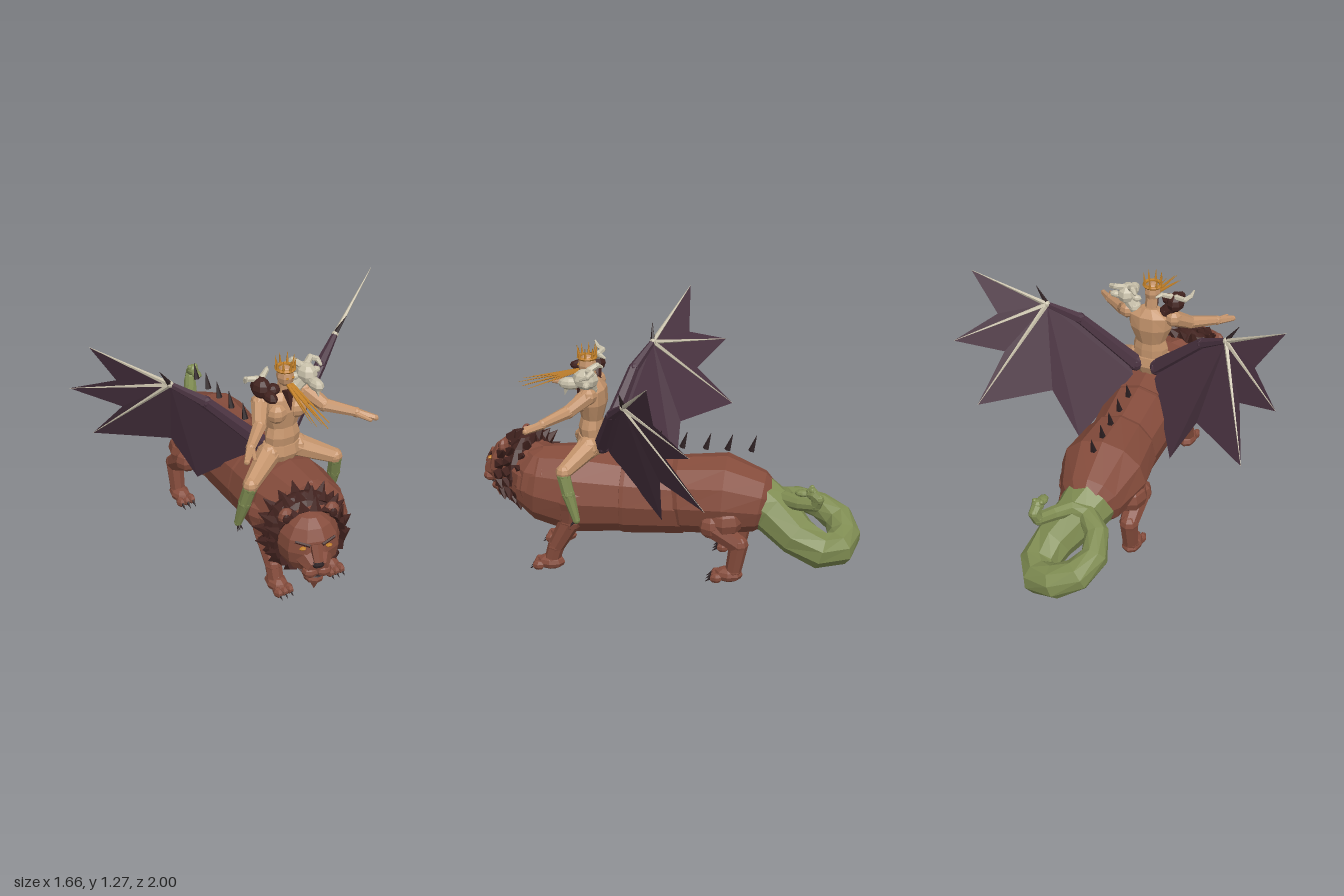
import * as THREE from 'three';
import { mergeGeometries } from 'three/addons/utils/BufferGeometryUtils.js';

const V = (a) => new THREE.Vector3(a[0], a[1], a[2]);

// Faceted copy of a geometry with only positions and normals
function flat(geo) {
  const g = geo.index ? geo.toNonIndexed() : geo;
  g.deleteAttribute('uv');
  g.computeVertexNormals();
  return g;
}

// Faceted ellipsoid
function ball(p, r, w = 8, h = 6) {
  const s = Array.isArray(r) ? r : [r, r, r];
  return flat(new THREE.SphereGeometry(1, w, h).scale(...s).translate(...p));
}

// Tapered bar between two points
function bar(a, b, r1, r2, n = 7) {
  const d = V(b).sub(V(a));
  const g = new THREE.CylinderGeometry(r2, r1, d.length(), n);
  g.applyQuaternion(new THREE.Quaternion().setFromUnitVectors(new THREE.Vector3(0, 1, 0), d.clone().normalize()));
  return flat(g.translate(...V(a).addScaledVector(d, 0.5).toArray()));
}
const spike = (a, b, r, n = 5) => bar(a, b, r, 0.001, n);

// Jointed limb: stations are [x, y, z, radius]
function limb(pts, n = 8) {
  const out = [];
  pts.forEach((p, i) => {
    out.push(ball(p, p[3], n, 6));
    if (i) out.push(bar(pts[i - 1], p, pts[i - 1][3] * 0.96, p[3] * 0.96, n));
  });
  return mergeGeometries(out);
}

// Closed skin over elliptical rings: stations are [x, y, z, rx, ry]
function loft(st, n = 10) {
  const rings = st.map((s, i) => {
    const t = V(st[Math.min(i + 1, st.length - 1)]).sub(V(st[Math.max(i - 1, 0)])).normalize();
    const ref = Math.abs(t.y) > 0.9 ? new THREE.Vector3(0, 0, 1) : new THREE.Vector3(0, 1, 0);
    const side = ref.cross(t).normalize(), up = t.clone().cross(side);
    return Array.from({ length: n }, (_, j) => {
      const a = (j / n) * Math.PI * 2;
      return V(s).addScaledVector(side, s[3] * Math.cos(a)).addScaledVector(up, (s[4] ?? s[3]) * Math.sin(a));
    });
  });
  const tris = [], last = rings.length - 1;
  for (let j = 0; j < n; j++) {
    const k = (j + 1) % n;
    for (let i = 0; i < last; i++) {
      const [a, b, c, d] = [rings[i][j], rings[i][k], rings[i + 1][j], rings[i + 1][k]];
      tris.push(a, b, c, b, d, c);
    }
    tris.push(V(st[0]), rings[0][k], rings[0][j], V(st[last]), rings[last][j], rings[last][k]);
  }
  return flat(new THREE.BufferGeometry().setFromPoints(tris));
}

export function createModel() {
  const root = new THREE.Group();
  root.name = 'wingedBeastAndRider';
  const mat = (name, color, double) => {
    const m = new THREE.MeshStandardMaterial({ color });
    m.name = name;
    if (double) m.side = THREE.DoubleSide;
    return m;
  };
  const fur = mat('brownFur', 0x854c3c), dark = mat('darkMane', 0x42231f), green = mat('greenScales', 0x7f8c52);
  const skin = mat('skin', 0xc4946c), bone = mat('bone', 0xc8c0aa), gold = mat('gold', 0xc07f28);
  const membrane = mat('wingMembrane', 0x4a3341, true), claw = mat('darkClaw', 0x2c2022);
  const add = (name, m, geos, parent = root) => {
    const mesh = new THREE.Mesh(Array.isArray(geos) ? mergeGeometries(geos) : geos, m);
    mesh.name = name;
    parent.add(mesh);
    return mesh;
  };

  // Trunk in three overlapping sections
  add('chest', fur, loft([[0, 0.43, 0.76, 0.13, 0.13], [0, 0.42, 0.66, 0.19, 0.2], [0, 0.4, 0.47, 0.225, 0.235],
    [0, 0.395, 0.22, 0.205, 0.21]], 12));
  add('belly', fur, loft([[0, 0.395, 0.3, 0.19, 0.19], [0, 0.39, 0.2, 0.2, 0.215], [0, 0.385, -0.1, 0.185, 0.195]], 12));
  add('rump', fur, loft([[0, 0.39, -0.03, 0.17, 0.18], [0, 0.4, -0.08, 0.2, 0.2], [0, 0.415, -0.3, 0.225, 0.205],
    [0, 0.38, -0.48, 0.16, 0.16], [0, 0.37, -0.53, 0.11, 0.12]], 12));
  add('neck', fur, limb([[0, 0.43, 0.62, 0.19], [-0.1, 0.45, 0.75, 0.17]], 10));

  // Spines along the back
  add('backSpines', claw, [0.05, -0.08, -0.2, -0.31, -0.43].map((z) =>
    spike([0, 0.655, z], [0, 0.74, z - 0.025], 0.017)));

  // Legs with paws and claws
  for (const s of [1, -1]) {
    const side = s > 0 ? 'left' : 'right';
    const paw = (x, z) => [ball([x, 0.04, z], [0.052, 0.04, 0.075]),
      ...[-1, 0, 1].map((i) => ball([x + i * 0.032, 0.027, z + 0.06], [0.022, 0.027, 0.034], 6, 5))];
    const claws = (x, z) => [-1, 0, 1].map((i) => spike([x + i * 0.032, 0.03, z + 0.08], [x + i * 0.032, 0.005, z + 0.115], 0.01));
    const fx = 0.155 * s, hx = 0.17 * s;
    add(side + 'FrontLeg', fur, [limb([[fx, 0.4, 0.46, 0.085], [fx, 0.28, 0.475, 0.058], [fx, 0.13, 0.555, 0.045],
      [fx, 0.06, 0.575, 0.043]]), ...paw(fx, 0.585)]);
    add(side + 'FrontClaws', claw, claws(fx, 0.575));
    add(side + 'HindLeg', fur, [ball([0.15 * s, 0.33, -0.31], [0.085, 0.085, 0.1]),
      limb([[hx, 0.31, -0.25, 0.068], [hx, 0.21, -0.39, 0.05], [hx, 0.06, -0.365, 0.043]]), ...paw(hx, -0.34)]);
    add(side + 'HindClaws', claw, claws(hx, -0.34));
  }

  // Beast head, turned to its right
  const head = new THREE.Group();
  head.name = 'beastHead';
  head.position.set(-0.12, 0.45, 0.76);
  head.rotation.y = -0.32;
  root.add(head);
  add('skull', fur, [ball([0, 0, 0.07], [0.15, 0.16, 0.135], 10, 8),
    loft([[0, -0.02, 0.1, 0.11, 0.11], [0, -0.045, 0.18, 0.08, 0.07], [0, -0.055, 0.235, 0.05, 0.042]], 8),
    bar([0, 0.05, 0.19], [0, -0.02, 0.235], 0.03, 0.024, 6)], head);
  add('jowls', fur, [ball([0.032, -0.08, 0.21], [0.04, 0.032, 0.038]), ball([-0.032, -0.08, 0.21], [0.04, 0.032, 0.038]),
    ball([0, -0.14, 0.165], [0.05, 0.036, 0.055]), spike([0, -0.15, 0.18], [0, -0.21, 0.18], 0.03)], head);
  add('nose', claw, ball([0, -0.03, 0.235], [0.035, 0.02, 0.017], 6, 4), head);
  add('mouth', claw, ball([0, -0.112, 0.19], [0.045, 0.008, 0.04]), head);
  for (const s of [1, -1]) {
    add('beastEye', gold, ball([0.062 * s, 0.035, 0.188], [0.018, 0.009, 0.012], 6, 4), head);
    add('beastBrow', dark, bar([0.03 * s, 0.05, 0.197], [0.095 * s, 0.068, 0.172], 0.008, 0.007, 5), head);
    add('beastEar', fur, ball([0.11 * s, 0.14, 0.065], [0.038, 0.045, 0.025]), head);
    add('innerEar', dark, ball([0.112 * s, 0.137, 0.085], [0.02, 0.026, 0.01]), head);
  }
  // Mane: dark core with rings of spikes
  const mane = [ball([0, 0, -0.02], [0.2, 0.205, 0.09], 12, 8)];
  [[0.155, 0.215, 0.075, 18], [0.175, 0.238, 0.015, 20], [0.165, 0.235, -0.05, 18]].forEach(([r0, r1, z, n], k) => {
    for (let i = 0; i < n; i++) {
      const a = ((i + k * 0.5) / n) * Math.PI * 2, c = Math.cos(a), d = Math.sin(a), r = r1 - (i % 2) * 0.018;
      mane.push(spike([c * r0, d * r0, z], [c * r, d * r, z - 0.035], 0.034));
    }
  });
  add('mane', dark, mane, head);

  // Looping serpent tail
  add('tail', green, loft([[0, 0.38, -0.47, 0.145], [0.03, 0.34, -0.56, 0.125], [0.11, 0.25, -0.68, 0.105],
    [0.145, 0.195, -0.8, 0.095], [0.1, 0.19, -0.885, 0.09], [0.01, 0.22, -0.915, 0.085], [-0.09, 0.265, -0.88, 0.08],
    [-0.14, 0.31, -0.78, 0.068], [-0.11, 0.36, -0.67, 0.06], [-0.03, 0.4, -0.6, 0.052], [0.05, 0.42, -0.61, 0.043],
    [0.11, 0.43, -0.69, 0.036], [0.15, 0.445, -0.765, 0.032]], 9));
  add('serpentHead', green, [limb([[0.15, 0.445, -0.765, 0.032], [0.165, 0.485, -0.78, 0.028], [0.16, 0.515, -0.745, 0.032]]),
    ball([0.155, 0.51, -0.7], [0.027, 0.018, 0.04]), ball([0.175, 0.535, -0.745], 0.014), ball([0.14, 0.535, -0.745], 0.014)]);

  // Wings
  for (const s of [1, -1]) {
    const wing = new THREE.Group();
    wing.name = s > 0 ? 'leftWing' : 'rightWing';
    root.add(wing);
    const m = ([x, y, z, r]) => [x * s, y, z, r];
    const wrist = [0.475, 1.045, 0.14], tips = [[0.805, 1.265, -0.02], [0.83, 0.96, -0.215], [0.695, 0.635, -0.27]];
    const edge = [tips[0], [0.67, 1.045, -0.03], tips[1], [0.62, 0.86, -0.08], tips[2], [0.39, 0.635, -0.02],
      [0.25, 0.36, -0.01], [0.06, 0.62, 0.28], [0.1, 0.73, 0.32], [0.32, 0.945, 0.225]].map((p) => V(m(p)));
    const tris = [];
    for (let i = 0; i < edge.length - 1; i++) {
      const pair = s > 0 ? [edge[i + 1], edge[i]] : [edge[i], edge[i + 1]];
      tris.push(V(m(wrist)), ...pair);
    }
    add('membrane', membrane, flat(new THREE.BufferGeometry().setFromPoints(tris)), wing);
    add('wingArm', membrane, limb([[0.06, 0.67, 0.32, 0.045], [0.33, 0.945, 0.22, 0.03], [0.475, 1.045, 0.14, 0.016]].map(m), 6), wing);
    add('wingFingers', bone, [...tips.map((t) => spike(m(wrist), m(t), 0.013)),
      bar(m([0.36, 0.975, 0.21]), m(wrist), 0.008, 0.013), ball(m(wrist), 0.018)], wing);
    add('wingClaw', claw, spike(m(wrist), m([0.535, 1.135, 0.15]), 0.014), wing);
  }

  // Rider torso
  const rider = new THREE.Group();
  rider.name = 'rider';
  root.add(rider);
  add('hips', skin, loft([[0, 0.61, 0.38, 0.07, 0.06], [0, 0.66, 0.38, 0.112, 0.08], [0, 0.71, 0.38, 0.1, 0.07]]), rider);
  add('waist', skin, loft([[0, 0.69, 0.38, 0.09, 0.06], [0, 0.755, 0.385, 0.095, 0.064], [0, 0.81, 0.38, 0.078, 0.054]]), rider);
  add('ribcage', skin, loft([[0, 0.79, 0.38, 0.076, 0.054], [0, 0.89, 0.375, 0.115, 0.075], [0, 0.96, 0.37, 0.115, 0.065],
    [0, 0.995, 0.375, 0.05, 0.04]]), rider);
  add('riderHead', skin, [bar([0, 0.97, 0.38], [0, 1.05, 0.39], 0.035, 0.03), ball([0, 1.075, 0.4], [0.042, 0.053, 0.048])], rider);
  add('collar', dark, spike([0, 1.01, 0.425], [0, 0.91, 0.455], 0.03), rider);

  // Rider limbs
  for (const s of [1, -1]) {
    const m = ([x, y, z, r]) => [x * s, y, z, r];
    add('breast', skin, ball([0.056 * s, 0.895, 0.42], [0.052, 0.052, 0.045]), rider);
    add('arm', skin, [limb([[0.125, 0.955, 0.375, 0.045], [0.185, 0.89, 0.465, 0.035], [0.3, 0.865, 0.57, 0.024]].map(m)),
      limb([[0.3, 0.862, 0.57, 0.024], [0.365, 0.848, 0.64, 0.015]].map(m), 6),
      bar(m([0.3, 0.86, 0.59]), m([0.33, 0.85, 0.655]), 0.013, 0.008)], rider);
    add('thigh', skin, limb([[0.08, 0.66, 0.39, 0.062], [0.245, 0.59, 0.485, 0.04]].map(m)), rider);
    add('shin', green, limb([[0.248, 0.575, 0.485, 0.036], [0.262, 0.48, 0.46, 0.034], [0.275, 0.345, 0.42, 0.02]].map(m)), rider);
    add('talons', claw, [-1, 0, 1].map((i) => spike(m([0.275, 0.345, 0.42]), m([0.28 + i * 0.015, 0.315, 0.45]), 0.01)), rider);
    add('riderEye', gold, ball([0.016 * s, 1.08, 0.443], [0.009, 0.005, 0.006], 6, 4), rider);
  }

  // Crown
  const crown = [flat(new THREE.TorusGeometry(0.043, 0.009, 5, 14).rotateX(Math.PI / 2).translate(0, 1.115, 0.4))];
  for (let i = 0; i < 8; i++) {
    const a = (i / 8) * Math.PI * 2, c = Math.cos(a), d = Math.sin(a);
    crown.push(spike([c * 0.043, 1.115, 0.4 + d * 0.043], [c * 0.05, 1.175, 0.4 + d * 0.05], 0.008));
  }
  add('crown', gold, crown, rider);

  // Fan of flame streaks from the mouth
  add('flameStreaks', gold, [-3, -2, -1, 0, 1, 2, 3].map((i) =>
    spike([i * 0.004, 1.045, 0.44], [i * 0.017, 0.965 - (i % 2) * 0.015, 0.755 - Math.abs(i) * 0.02], 0.008)), rider);

  // Dark shoulder head
  add('darkShoulderHead', dark, [ball([-0.13, 1.045, 0.39], [0.046, 0.052, 0.06]), ball([-0.125, 1.025, 0.46], [0.03, 0.028, 0.055]),
    limb([[-0.08, 0.98, 0.38, 0.035], [-0.125, 1.03, 0.385, 0.038]]), ball([-0.085, 1.035, 0.42], [0.04, 0.028, 0.035])], rider);
  add('darkHeadHorns', bone, [limb([[-0.14, 1.085, 0.37, 0.016], [-0.19, 1.09, 0.355, 0.014], [-0.212, 1.1, 0.385, 0.011], [-0.222, 1.125, 0.4, 0.005]], 6),
    limb([[-0.11, 1.085, 0.37, 0.016], [-0.07, 1.1, 0.345, 0.013], [-0.05, 1.095, 0.32, 0.006]], 6)], rider);
  // Pale goat shoulder head
  add('goatHead', bone, [ball([0.13, 1.045, 0.385], [0.05, 0.053, 0.065]), ball([0.13, 1.02, 0.465], [0.032, 0.032, 0.058]),
    limb([[0.085, 0.98, 0.37, 0.036], [0.125, 1.03, 0.38, 0.04]]), ball([0.19, 1.035, 0.37], [0.032, 0.018, 0.02]),
    ball([0.078, 1.035, 0.37], [0.03, 0.018, 0.02]), spike([0.13, 1.0, 0.48], [0.135, 0.96, 0.49], 0.015)], rider);
  add('goatHorns', bone, [limb([[0.145, 1.085, 0.37, 0.018], [0.18, 1.095, 0.345, 0.017], [0.21, 1.085, 0.36, 0.014], [0.208, 1.07, 0.395, 0.008]], 6),
    limb([[0.11, 1.085, 0.37, 0.018], [0.085, 1.105, 0.335, 0.015], [0.065, 1.09, 0.315, 0.008]], 6)], rider);
  return root;
}
